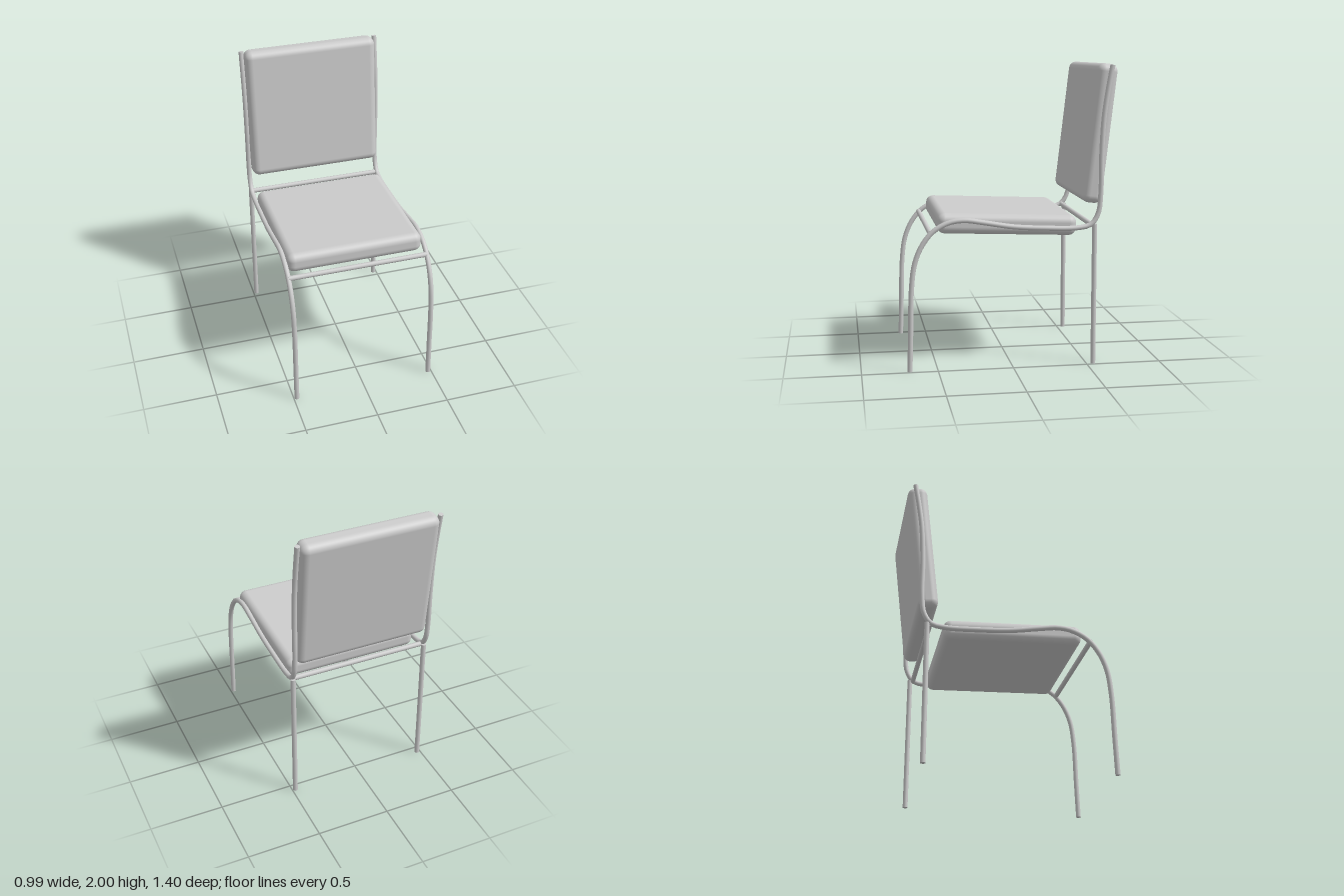
import * as THREE from 'three';
import { RoundedBoxGeometry } from 'three/addons/geometries/RoundedBoxGeometry.js';

const R = 0.017;
const SIDE_X = 0.478;

export function createModel() {
  const chair = new THREE.Group();
  chair.name = 'chair';
  const material = new THREE.MeshStandardMaterial({ color: 0xcccccc });

  const add = (parent, name, geometry, x = 0, y = 0, z = 0) => {
    const mesh = new THREE.Mesh(geometry, material);
    mesh.name = name;
    mesh.position.set(x, y, z);
    parent.add(mesh);
    return mesh;
  };

  // Padded seat and backrest, both leaning slightly backwards
  const seat = add(chair, 'seat', new RoundedBoxGeometry(0.93, 0.135, 0.925, 4, 0.05), 0, 0.954, 0.03);
  seat.rotation.x = -0.04;
  const back = add(chair, 'backrest', new RoundedBoxGeometry(0.93, 0.92, 0.135, 4, 0.05), 0, 1.54, -0.584);
  back.rotation.x = -0.115;

  // Side profile as [z, y]: front leg, seat rail and back post in one bent tube
  const profile = [
    [0.685, 0], [0.677, 0.25], [0.668, 0.55], [0.645, 0.72], [0.595, 0.84],
    [0.52, 0.93], [0.42, 0.982], [0.32, 0.995], [0.2, 0.978], [0, 0.945],
    [-0.2, 0.931], [-0.43, 0.927], [-0.52, 0.948], [-0.568, 1.02],
    [-0.584, 1.15], [-0.586, 1.4], [-0.599, 1.65], [-0.622, 1.82], [-0.652, 1.99],
  ];
  const path = new THREE.CatmullRomCurve3(profile.map(([z, y]) => new THREE.Vector3(0, y, z)));
  const railGeometry = new THREE.TubeGeometry(path, 90, R, 12);
  const capGeometry = new THREE.CircleGeometry(R, 12);
  const legGeometry = new THREE.CylinderGeometry(R, R, 0.95, 12);

  for (const [side, s] of [['left', 1], ['right', -1]]) {
    const frame = new THREE.Group();
    frame.name = `${side}Frame`;
    frame.position.x = s * SIDE_X;
    chair.add(frame);
    add(frame, 'bentRail', railGeometry);
    add(frame, 'rearLeg', legGeometry, 0, 0.475, -0.545);

    // Closed tube ends
    for (const t of [0, 1]) {
      const p = path.getPoint(t);
      const outward = path.getTangent(t).multiplyScalar(t ? 1 : -1);
      const cap = add(frame, t ? 'topCap' : 'footCap', capGeometry, p.x, p.y, p.z);
      cap.quaternion.setFromUnitVectors(new THREE.Vector3(0, 0, 1), outward);
    }
  }

  // Cross bars joining the two sides
  const barGeometry = new THREE.CylinderGeometry(R, R, SIDE_X * 2, 12).rotateZ(Math.PI / 2);
  add(chair, 'frontCrossBar', barGeometry, 0, 0.915, 0.543);
  add(chair, 'rearCrossBar', barGeometry, 0, 0.945, -0.525);

  return chair;
}
